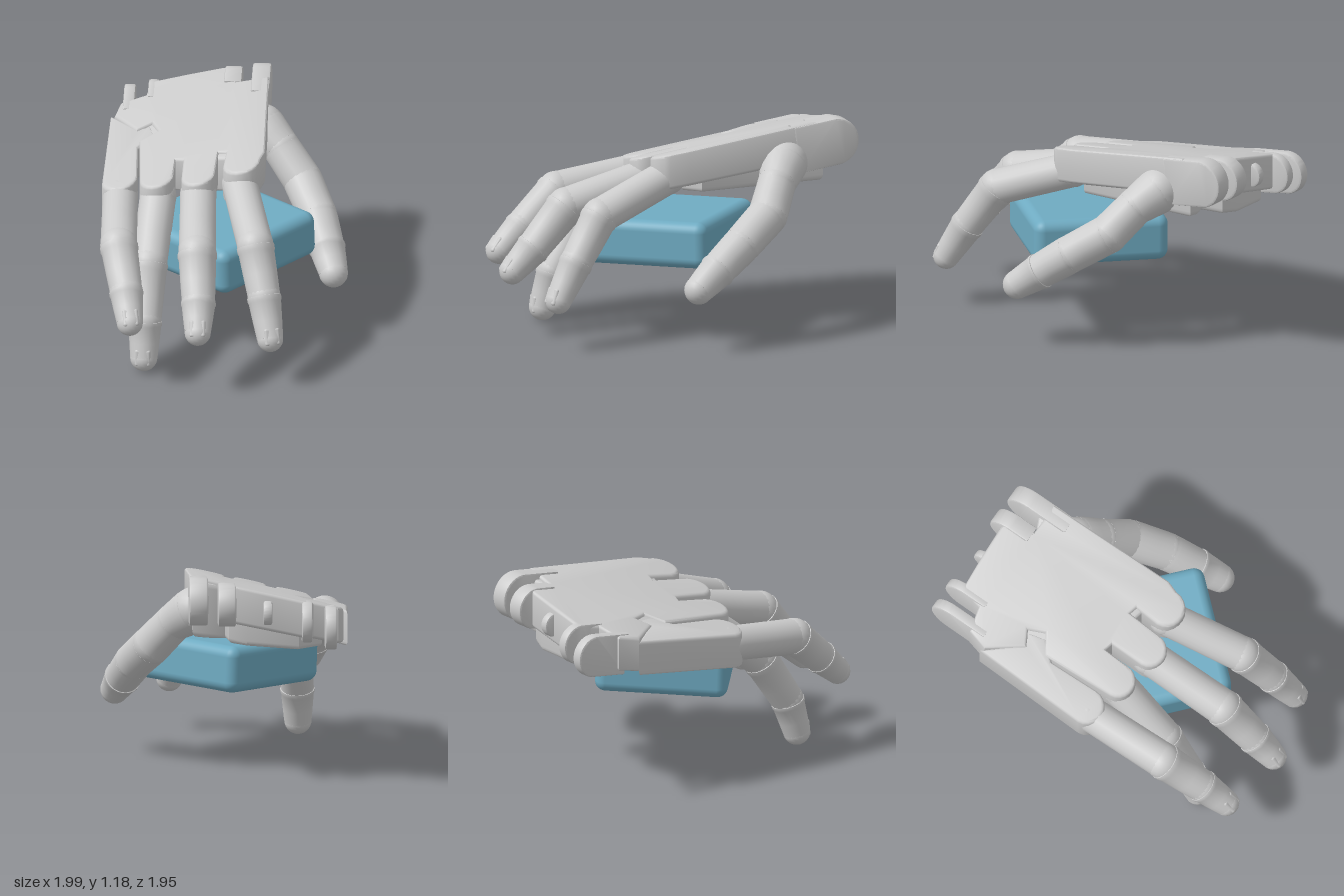
import * as THREE from 'three';
import { toCreasedNormals } from 'three/addons/utils/BufferGeometryUtils.js';
import { RoundedBoxGeometry } from 'three/addons/geometries/RoundedBoxGeometry.js';

const V = (p) => new THREE.Vector3(...p);
const UP = new THREE.Vector3(0, 1, 0);
const grey = new THREE.MeshStandardMaterial({ color: 0xcccccc });
const blue = new THREE.MeshStandardMaterial({ color: 0x6fabc2 });

// Height of the tilted back of the hand
const topY = (x, z) => 0.99 + 0.075 * x - 0.253 * z;

function add(parent, name, geometry, material = grey) {
  const mesh = new THREE.Mesh(geometry, material);
  mesh.name = name;
  parent.add(mesh);
  return mesh;
}

// Half-round knuckle outline in (x, z), angles in degrees
function lobe(x, z, r, from = -45, to = 135) {
  return Array.from({ length: 11 }, (_, i) => {
    const a = THREE.MathUtils.degToRad(from + (to - from) * i / 10);
    return [x + r * Math.cos(a), z + r * Math.sin(a)];
  });
}

// Plate with an (x, z) outline, following the back of the hand and thickening towards the wrist by flare
function slab(outline, depth, drop, flare) {
  const shape = new THREE.Shape(outline.map(([x, z]) => new THREE.Vector2(x, -z)));
  const b = 0.018;
  const geo = new THREE.ExtrudeGeometry(shape, {
    depth: depth - 2 * b, bevelThickness: b, bevelSize: b, bevelOffset: -b, bevelSegments: 3,
  });
  geo.rotateX(-Math.PI / 2).translate(0, b - depth - drop, 0);
  const pos = geo.attributes.position;
  for (let i = 0; i < pos.count; i++) {
    const x = pos.getX(i), z = pos.getZ(i);
    pos.setY(i, pos.getY(i) * (1 - flare * z) + topY(x, z));
  }
  return toCreasedNormals(geo, 0.6);
}

// Wrist lug: plate with a round end, pointing backwards along the hand
function lug(x, z, length, width, r) {
  const s = new THREE.Shape();
  s.moveTo(-length, -r);
  s.lineTo(0, -r);
  s.absarc(0, 0, r, -Math.PI / 2, Math.PI / 2);
  s.lineTo(-length, r);
  const b = 0.012;
  const geo = new THREE.ExtrudeGeometry(s, {
    depth: width - 2 * b, bevelThickness: b, bevelSize: b, bevelOffset: -b, bevelSegments: 2, curveSegments: 16,
  });
  geo.translate(0, 0, b - width / 2);
  const X = V([-0.676, 0.136, -0.737]).normalize();
  const Z = X.clone().cross(UP).normalize();
  const Y = Z.clone().cross(X);
  geo.applyMatrix4(new THREE.Matrix4().makeBasis(X, Y, Z));
  const cx = x + 0.676 * r, cz = z + 0.737 * r;
  geo.translate(cx, topY(cx, cz) - Math.max(r, 0.11), cz);
  return toCreasedNormals(geo, 0.6);
}

// Tapered limb between two points, with a collar at its start
function limb(parent, name, a, b, ra, rb, collar) {
  const dir = b.clone().sub(a);
  const len = dir.length();
  const profile = [[0, 0], [ra * 0.85, 0], [ra * collar, 0.03], [ra * collar, 0.12],
    [ra, 0.16], [(ra + rb) * 0.5, 0.6], [rb, 1], [0, 1]];
  const geo = new THREE.LatheGeometry(profile.map(([r, t]) => new THREE.Vector2(r, t * len)), 20);
  const mesh = add(parent, name, toCreasedNormals(geo, 0.7));
  mesh.position.copy(a);
  mesh.quaternion.setFromUnitVectors(UP, dir.normalize());
}

function joint(parent, name, p, r) {
  add(parent, name, new THREE.SphereGeometry(r, 20, 14)).position.copy(p);
}

// Jointed finger through its joint centres, with a nail on its upper side
function finger(name, points, radii) {
  const g = new THREE.Group();
  g.name = name;
  const p = points.map(V);
  const last = p.length - 1;
  for (let i = 0; i < last; i++) {
    joint(g, 'joint', p[i], radii[i] * 1.02);
    limb(g, 'fingerSegment', p[i], p[i + 1], radii[i], radii[i + 1], i ? 1.05 : 1);
  }
  joint(g, 'fingertip', p[last], radii[last]);

  const along = p[last].clone().sub(p[last - 1]).normalize();
  const out = UP.clone().addScaledVector(along, -along.y).normalize();
  const side = along.clone().cross(out);
  const nail = add(g, 'nail', new RoundedBoxGeometry(0.09, 0.1, 0.03, 3, 0.014));
  nail.quaternion.setFromRotationMatrix(new THREE.Matrix4().makeBasis(side, along, out));
  nail.rotateX(-0.2);
  nail.position.copy(p[last]).addScaledVector(out, radii[last] * 0.72).addScaledVector(along, -0.005);
  return g;
}

export function createModel() {
  const model = new THREE.Group();
  model.name = 'handHoldingBlock';

  // Palm with rounded knuckle lobes separated by slots
  const palm = new THREE.Group();
  palm.name = 'palm';
  model.add(palm);
  add(palm, 'palmBody', slab([
    [-0.2, -0.8], [0.33, -0.24], ...lobe(0.285, -0.1, 0.105),
    [0.12, -0.14], [0.08, -0.12], ...lobe(0.14, 0.1, 0.095),
    [-0.06, 0.02], [-0.1, 0.04], ...lobe(-0.07, 0.22, 0.095),
    [-0.44, -0.01], [-0.41, -0.13], [-0.5, -0.17], [-0.53, -0.08], [-0.76, -0.13], [-0.82, -0.24],
    [-0.74, -0.36], [-0.81, -0.47], [-0.66, -0.62], [-0.52, -0.75], [-0.44, -0.78], [-0.34, -0.68], [-0.28, -0.73],
  ], 0.2, 0, 0.1));
  add(palm, 'palmPad', slab([
    [-0.24, -0.82], [0.26, -0.29], [0.2, -0.14], [0, -0.04], [-0.3, 0.02], [-0.68, -0.22], [-0.72, -0.46],
    [-0.54, -0.7], [-0.44, -0.74], [-0.34, -0.66], [-0.3, -0.76],
  ], 0.195, 0.015, 0.8));
  add(palm, 'littleFingerBase', slab([
    [-0.79, -0.13], ...lobe(-0.275, 0.31, 0.1, 135, -45), [-0.41, 0.03], [-0.41, -0.1], [-0.5, -0.16], [-0.54, -0.1],
  ], 0.2, 0.012, 0));

  // Wrist lugs: tip x, tip z, length, width, radius
  for (const l of [
    [-0.405, -0.955, 0.24, 0.105, 0.135], [-0.53, -0.855, 0.12, 0.1, 0.12], [-0.68, -0.68, 0.1, 0.05, 0.07],
    [-0.87, -0.56, 0.14, 0.06, 0.115], [-0.97, -0.47, 0.22, 0.065, 0.12],
  ]) add(palm, 'wristLug', lug(...l));

  // Fingers: knuckle, middle joint, end joint, tip
  model.add(finger('indexFinger',
    [[0.28, 0.9, -0.09], [0.66, 0.735, 0.165], [0.81, 0.5, 0.245], [0.925, 0.29, 0.31]], [0.1, 0.102, 0.092, 0.074]));
  model.add(finger('middleFinger',
    [[0.14, 0.85, 0.1], [0.48, 0.725, 0.445], [0.625, 0.51, 0.58], [0.715, 0.38, 0.675]], [0.102, 0.106, 0.094, 0.074]));
  model.add(finger('ringFinger',
    [[-0.07, 0.81, 0.21], [0.13, 0.555, 0.475], [0.24, 0.28, 0.62], [0.28, 0.078, 0.67]], [0.103, 0.1, 0.092, 0.077]));
  model.add(finger('littleFinger',
    [[-0.27, 0.775, 0.31], [0.08, 0.71, 0.67], [0.27, 0.53, 0.8], [0.39, 0.405, 0.89]], [0.1, 0.103, 0.092, 0.074]));

  // Thumb: round base ball, narrow neck, wide middle knuckle and blunt tip
  const thumb = new THREE.Group();
  thumb.name = 'thumb';
  model.add(thumb);
  const pts = [[-0.1, 0.945, -0.645], [0.04, 0.86, -0.655], [0.2, 0.71, -0.665], [0.4, 0.58, -0.59],
    [0.55, 0.465, -0.51], [0.675, 0.365, -0.44]].map(V);
  const radii = [0.13, 0.108, 0.112, 0.108, 0.1, 0.082];
  pts.slice(0, -1).forEach((p, i) => {
    joint(thumb, 'thumbJoint', p, radii[i]);
    limb(thumb, 'thumbSegment', p, pts[i + 1], radii[i], radii[i + 1], i === 4 ? 1.05 : 1);
  });
  joint(thumb, 'thumbTip', pts[5], radii[5]);

  // Held block
  const block = add(model, 'block', new RoundedBoxGeometry(0.77, 0.265, 0.75, 4, 0.06), blue);
  block.position.set(0.183, 0.564, -0.055);
  block.rotation.set(0.035, 0, 0.015);
  return model;
}
